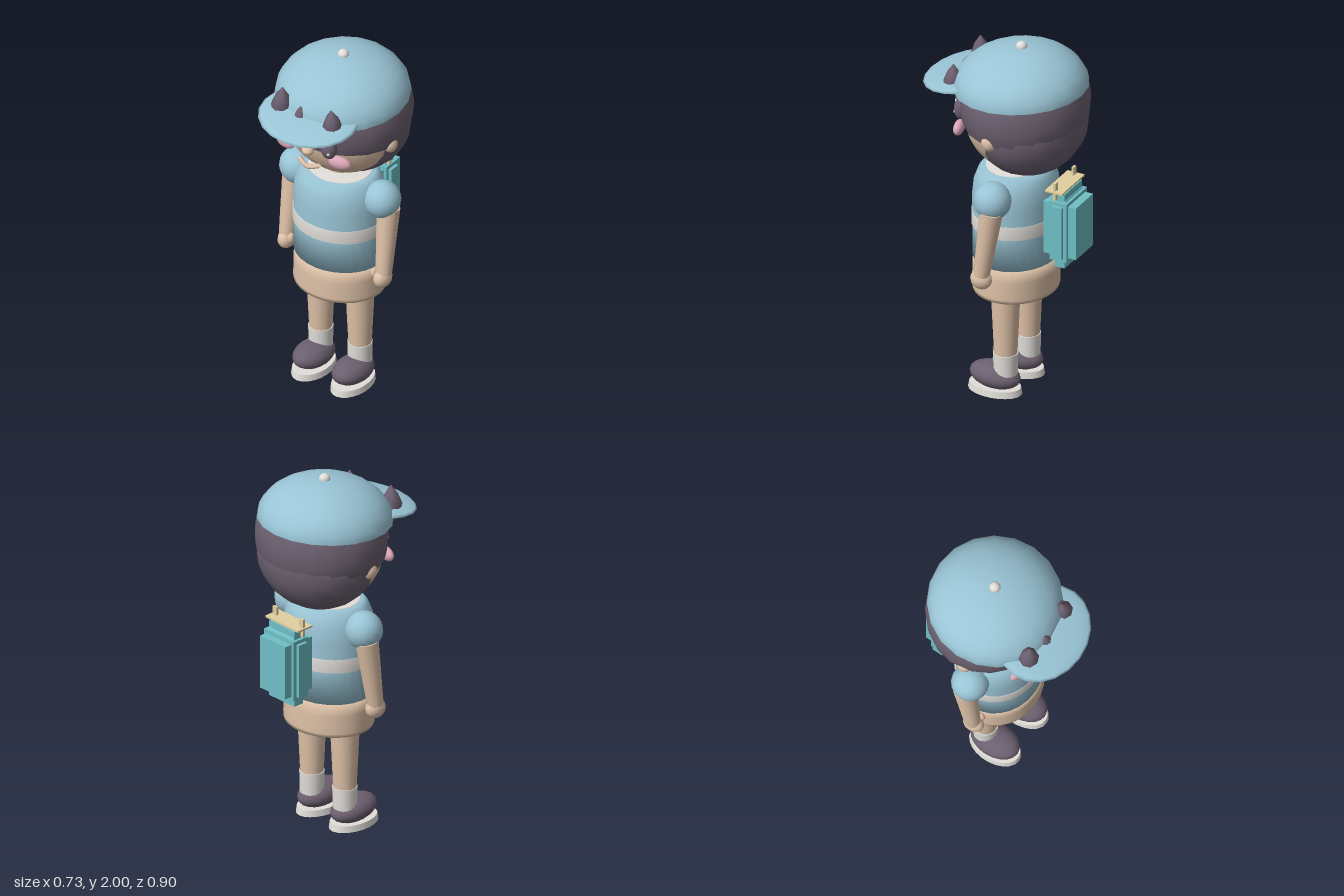
import * as THREE from 'three';

const mat = (name, color) => {
  const m = new THREE.MeshStandardMaterial({ color, side: THREE.DoubleSide });
  m.name = name;
  return m;
};

export function createModel() {
  const root = new THREE.Group();
  const blue = mat('lightBlue', 0x9ac5d6);
  const dark = mat('darkHair', 0x6c6070);
  const skin = mat('skin', 0xdec1a7);
  const white = mat('offWhite', 0xe2dfda);
  const pink = mat('cheekPink', 0xdba6b8);
  const teal = mat('teal', 0x6fbfc5);
  const straw = mat('straw', 0xe2d0a0);

  const add = (name, geo, m, x = 0, y = 0, z = 0) => {
    const mesh = new THREE.Mesh(geo, m);
    mesh.name = name;
    mesh.position.set(x, y, z);
    root.add(mesh);
    return mesh;
  };
  const ball = (name, m, p, r, w = 18, h = 12) => {
    const mesh = add(name, new THREE.SphereGeometry(1, w, h), m, ...p);
    mesh.scale.set(...r);
    return mesh;
  };
  // Tapered limb between two points
  const limb = (name, m, a, b, ra, rb) => {
    const A = new THREE.Vector3(...a), B = new THREE.Vector3(...b);
    const d = A.clone().sub(B);
    const mid = A.clone().add(B).multiplyScalar(0.5);
    const mesh = add(name, new THREE.CylinderGeometry(ra, rb, d.length(), 18), m, mid.x, mid.y, mid.z);
    mesh.quaternion.setFromUnitVectors(new THREE.Vector3(0, 1, 0), d.normalize());
    return mesh;
  };
  // Oval body section turned from [radius, height] points
  const turned = (name, m, pts) => {
    const mesh = add(name, new THREE.LatheGeometry(pts.map(p => new THREE.Vector2(...p)), 28), m, 0, 0, -0.052);
    mesh.scale.set(1, 1, 0.88);
    return mesh;
  };

  // Head and hair
  ball('head', skin, [0, 1.6, -0.065], [0.325, 0.305, 0.265], 24, 16);
  ball('backHair', dark, [0, 1.57, -0.135], [0.338, 0.298, 0.297], 20, 14);
  const band = add('hairBand', new THREE.SphereGeometry(1, 20, 8, 0, Math.PI * 2, Math.PI * 0.38, Math.PI * 0.73 - Math.PI * 0.5 + Math.PI * 0.005), dark, 0, 1.66, -0.105);
  band.scale.set(0.36, 0.34, 0.335);
  // Upright tufts in front of the cap
  for (const [x, tip, z, r, lean] of [[-0.17, 1.885, 0.24, 0.055, -0.08], [0.165, 1.86, 0.235, 0.052, 0.08], [-0.03, 1.82, 0.25, 0.042, 0]]) {
    const h = tip - 1.68;
    const pts = [[0.01, 0], [0.7, 0.2], [1, 0.48], [0.65, 0.74], [0.01, 1]];
    const tuft = add('hairTuft', new THREE.LatheGeometry(pts.map(p => new THREE.Vector2(p[0] * r, p[1] * h)), 8), dark, x, 1.68, z);
    tuft.rotation.z = lean;
  }

  // Cap
  const cap = add('capDome', new THREE.SphereGeometry(1, 20, 8, 0, Math.PI * 2, 0, Math.PI / 2), blue, 0, 1.745, -0.08);
  cap.scale.set(0.355, 0.225, 0.355);
  cap.rotation.x = 0.06;
  const brim = ball('capBrim', blue, [0, 1.748, 0.225], [0.28, 0.028, 0.227], 20, 10);
  brim.rotation.x = 0.15;
  ball('capButton', white, [0, 1.972, -0.083], [0.03, 0.028, 0.03], 14, 10);

  // Face
  ball('nose', skin, [0, 1.543, 0.232], [0.032, 0.024, 0.03], 14, 10);
  const lip = new THREE.CatmullRomCurve3([[-0.065, 1.464, 0.215], [-0.025, 1.45, 0.23], [0, 1.444, 0.232], [0.025, 1.45, 0.23], [0.065, 1.464, 0.215]].map(p => new THREE.Vector3(...p)));
  add('mouth', new THREE.TubeGeometry(lip, 12, 0.013, 8), skin);

  // Oval torso, stripe, collar and bottoms
  turned('shirt', blue, [[0.001, 0.77], [0.25, 0.77], [0.252, 0.96], [0.252, 1.12], [0.243, 1.2], [0.22, 1.255], [0.19, 1.285], [0.001, 1.287]]);
  turned('shirtStripe', white, [[0.25, 0.955], [0.257, 0.955], [0.257, 1.03], [0.25, 1.03]]);
  turned('collar', white, [[0.175, 1.28], [0.172, 1.292], [0.001, 1.294]]);
  turned('shorts', skin, [[0.001, 0.78], [0.247, 0.775], [0.251, 0.7], [0.253, 0.6], [0.25, 0.58], [0.001, 0.58]]);
  limb('neck', skin, [0, 1.36, -0.06], [0, 1.25, -0.06], 0.08, 0.085);

  // Mirrored parts
  for (const s of [-1, 1]) {
    ball('ear', skin, [s * 0.318, 1.548, -0.06], [0.034, 0.046, 0.042], 12, 10);
    ball('eye', dark, [s * 0.115, 1.592, 0.205], [0.046, 0.066, 0.04], 16, 12);
    ball('eyeHighlight', white, [s * 0.099, 1.622, 0.238], [0.02, 0.021, 0.012], 12, 8);
    ball('eyeGlint', white, [s * 0.134, 1.574, 0.236], [0.009, 0.01, 0.008], 10, 8);
    const brow = ball('eyebrow', dark, [s * 0.13, 1.682, 0.21], [0.042, 0.01, 0.014], 10, 8);
    brow.rotation.z = -s * 0.2;
    const cheek = ball('cheek', pink, [s * 0.173, 1.511, 0.19], [0.064, 0.038, 0.028], 16, 10);
    cheek.rotation.y = s * 0.2;

    ball('sleeve', blue, [s * 0.267, 1.186, -0.054], [0.1, 0.102, 0.1], 18, 12);
    limb('arm', skin, [s * 0.3, 1.14, -0.065], [s * 0.308, 0.76, -0.012], 0.062, 0.043);
    ball('hand', skin, [s * 0.305, 0.733, -0.008], [0.045, 0.055, 0.06], 14, 10);
    ball('thumb', skin, [s * 0.264, 0.757, 0.012], [0.018, 0.032, 0.022], 10, 8);

    limb('leg', skin, [s * 0.125, 0.62, -0.056], [s * 0.125, 0.2, -0.056], 0.079, 0.06);
    limb('sock', white, [s * 0.125, 0.235, -0.056], [s * 0.125, 0.09, -0.056], 0.066, 0.063);
    const shoe = ball('shoe', dark, [s * 0.125, 0.09, 0.005], [0.093, 0.068, 0.142], 20, 12);
    shoe.rotation.x = -0.08;
    const sole = add('sole', new THREE.CylinderGeometry(0.093, 0.097, 0.036, 22), white, s * 0.125, 0.018, 0.005);
    sole.scale.z = 1.55;
  }

  // Backpack: stepped side profile plus wider middle blocks
  const quarter = [[0.095, 0.15], [0.05, 0.15], [0.03, 0.18], [0.03, 0.215]];
  const outline = [
    ...quarter, ...quarter.map(([a, b]) => [-a, b]).reverse(),
    ...quarter.map(([a, b]) => [-a, -b]), ...quarter.map(([a, b]) => [a, -b]).reverse(),
  ];
  const packGeo = new THREE.ExtrudeGeometry(new THREE.Shape(outline.map(p => new THREE.Vector2(...p))), { depth: 0.19, bevelEnabled: false });
  packGeo.translate(0, 0, -0.095);
  const pack = add('backpack', packGeo, teal, 0, 1.005, -0.355);
  pack.rotation.y = Math.PI / 2;
  add('backpackSides', new THREE.BoxGeometry(0.26, 0.3, 0.06), teal, 0, 1.005, -0.355);
  add('backpackMiddle', new THREE.BoxGeometry(0.225, 0.34, 0.1), teal, 0, 1.005, -0.355);

  // Carrying handle
  add('handlePlate', new THREE.BoxGeometry(0.25, 0.01, 0.1), straw, 0, 1.233, -0.335);
  for (const s of [-1, 1]) add('handlePost', new THREE.BoxGeometry(0.03, 0.1, 0.014), straw, s * 0.1, 1.233, -0.335);

  return root;
}
